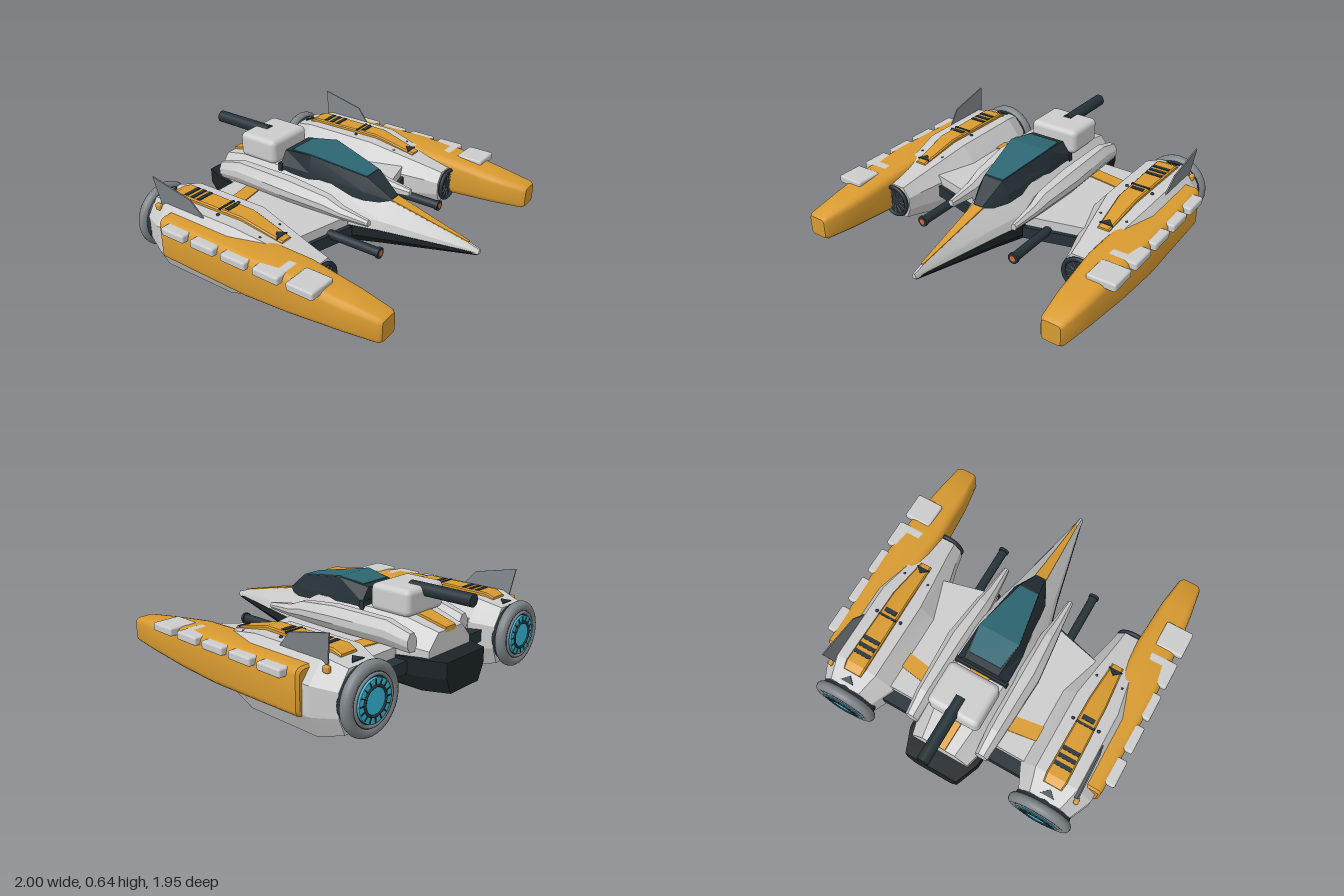
import * as THREE from 'three';
import { toCreasedNormals } from 'three/addons/utils/BufferGeometryUtils.js';
import { RoundedBoxGeometry } from 'three/addons/geometries/RoundedBoxGeometry.js';

const mat = (color, flatShading = false) => new THREE.MeshStandardMaterial({ color, flatShading });
const GREY = mat(0xcccccc), DARK = mat(0x263238), BELLY = mat(0x1c2327), ORANGE = mat(0xd89a30),
  GLASS = mat(0x2d6672), CYAN = mat(0x35bcd8), STEEL = mat(0x7d8488), RED = mat(0xd86a3a);

function add(parent, name, geo, material, x = 0, y = 0, z = 0) {
  const m = new THREE.Mesh(geo, material);
  m.name = name;
  m.position.set(x, y, z);
  parent.add(m);
  return m;
}

// Skin of closed cross-sections, back to front; each is { z, pts } counter-clockwise seen from +z
function loft(sections, crease = 0.25) {
  const pos = [], n = sections[0].pts.length;
  const put = (s, j) => pos.push(s.pts[j % n][0], s.pts[j % n][1], s.z);
  for (let i = 0; i + 1 < sections.length; i++) {
    const a = sections[i], b = sections[i + 1];
    for (let j = 0; j < n; j++) {
      put(a, j); put(a, j + 1); put(b, j + 1);
      put(a, j); put(b, j + 1); put(b, j);
    }
  }
  const back = sections[0], front = sections[sections.length - 1];
  for (let j = 1; j < n - 1; j++) {
    put(back, 0); put(back, j + 1); put(back, j);
    put(front, 0); put(front, j); put(front, j + 1);
  }
  const g = new THREE.BufferGeometry();
  g.setAttribute('position', new THREE.Float32BufferAttribute(pos, 3));
  return toCreasedNormals(g, crease);
}

// Symmetric section from its right half, listed bottom to top
const sym = (z, half) => ({ z, pts: [...half, ...half.map(([x, y]) => [-x, y]).reverse()] });

// Rounded rectangle section
function roundRect(z, x0, x1, y0, y1, r) {
  const pts = [];
  [[x1 - r, y0 + r, -90], [x1 - r, y1 - r, 0], [x0 + r, y1 - r, 90], [x0 + r, y0 + r, 180]].forEach(([cx, cy, a]) => {
    for (let k = 0; k <= 3; k++) {
      const t = (a + k * 30) * Math.PI / 180;
      pts.push([cx + r * Math.cos(t), cy + r * Math.sin(t)]);
    }
  });
  return { z, pts };
}

// Cylinder along z, r0 at the back and r1 at the front
const tubeZ = (r0, r1, len, seg = 32) => new THREE.CylinderGeometry(r1, r0, len, seg).rotateX(Math.PI / 2);
const box = (w, h, d) => new THREE.BoxGeometry(w, h, d);

// Flat outline in x/z given thickness downwards from y = 0
function plate(points, thickness) {
  const s = new THREE.Shape(points.map(([x, z]) => new THREE.Vector2(x, z)));
  return new THREE.ExtrudeGeometry(s, { depth: thickness, bevelEnabled: false }).rotateX(Math.PI / 2);
}

function buildFuselage(root) {
  const g = new THREE.Group();
  g.name = 'fuselage';
  root.add(g);

  // Grey upper hull: z, chine width, chine y, shoulder width, shoulder y, top width, top y
  const hull = [
    [-0.84, 0.19, 0.27, 0.19, 0.33, 0.11, 0.42],
    [-0.6, 0.25, 0.26, 0.25, 0.35, 0.14, 0.48],
    [-0.3, 0.27, 0.26, 0.265, 0.35, 0.16, 0.48],
    [0, 0.24, 0.26, 0.225, 0.34, 0.15, 0.47],
    [0.38, 0.14, 0.26, 0.125, 0.315, 0.04, 0.425],
    [0.9, 0.025, 0.25, 0.022, 0.27, 0.008, 0.3],
    [0.97, 0.014, 0.25, 0.014, 0.26, 0.006, 0.28]];
  add(g, 'upperHull', loft(hull.map(([z, a, b, c, d, e, f]) => sym(z, [[a, b], [c, d], [e, f]]))), GREY);

  // Dark belly: z, bottom width, bottom y, top width, top y
  const belly = [
    [-0.95, 0.13, 0.1, 0.175, 0.29], [-0.8, 0.19, 0.095, 0.235, 0.29], [-0.3, 0.195, 0.095, 0.275, 0.262],
    [0, 0.17, 0.1, 0.245, 0.262], [0.38, 0.09, 0.15, 0.142, 0.262], [0.96, 0.008, 0.24, 0.014, 0.256]];
  add(g, 'belly', loft(belly.map(([z, a, b, c, d]) => sym(z, [[a, b], [c, (b + d) / 2], [c, d]]))), BELLY);

  // Orange stripes on the nose and spine
  const stripe = (rows) => loft(rows.map(([z, w, y]) => sym(z, [[w, y - 0.03], [w, y]])));
  add(g, 'noseStripe', stripe([[0.36, 0.04, 0.437], [0.9, 0.008, 0.307]]), ORANGE);
  add(g, 'spineStripe', stripe([[-0.84, 0.045, 0.435], [-0.6, 0.06, 0.495], [-0.3, 0.065, 0.495]]), ORANGE);

  // Canopy: z, sill width, sill y, shoulder width, shoulder y, top width, top y
  const canopy = [
    [-0.335, 0.17, 0.44, 0.17, 0.5, 0.115, 0.58], [-0.12, 0.165, 0.44, 0.16, 0.5, 0.135, 0.608],
    [0.25, 0.115, 0.41, 0.105, 0.46, 0.065, 0.54], [0.4, 0.04, 0.4, 0.037, 0.42, 0.032, 0.43]];
  add(g, 'canopyFrame', loft(canopy.map(([z, a, b, c, d, e, f]) => sym(z, [[a, b], [c, d], [e, f]]))), DARK);
  add(g, 'canopyGlass', stripe([[-0.29, 0.105, 0.591], [-0.12, 0.133, 0.613], [0.24, 0.063, 0.547]]), GLASS);
  add(g, 'canopyRearRim', box(0.35, 0.06, 0.03), DARK, 0, 0.48, -0.335);

  // Turret with a gun that faces backwards
  add(g, 'turret', new RoundedBoxGeometry(0.335, 0.16, 0.28, 4, 0.035), GREY, 0, 0.55, -0.53);
  add(g, 'turretBarrel', tubeZ(0.038, 0.038, 0.42), DARK, 0, 0.606, -0.77);

  return g;
}

function buildNacelle(side) {
  const g = new THREE.Group();
  g.name = 'nacelle';
  g.position.set(0.685, 0.22, 0);
  side.add(g);

  // Eight-sided body: z, half width, half height
  const body = [[-0.8, 0.17, 0.175], [-0.66, 0.235, 0.212], [-0.15, 0.235, 0.212], [0.27, 0.125, 0.125], [0.37, 0.105, 0.105]];
  add(g, 'nacelleBody', loft(body.map(([z, w, h]) =>
    sym(z, [[w * 0.74, -h], [w, -h * 0.4], [w, h * 0.4], [w * 0.58, h]]))), GREY);

  // Front intake with radial blades
  add(g, 'intakeRim', new THREE.TorusGeometry(0.096, 0.013, 10, 32), DARK, 0, 0, 0.39);
  add(g, 'intakeDisc', tubeZ(0.096, 0.096, 0.03), DARK, 0, 0, 0.37);
  for (let i = 0; i < 12; i++) {
    const a = i * Math.PI / 6;
    add(g, 'intakeBlade', box(0.05, 0.006, 0.008), STEEL, 0.058 * Math.cos(a), 0.058 * Math.sin(a), 0.387).rotation.z = a;
  }

  // Rear engine with glowing rings
  add(g, 'engineNeck', tubeZ(0.185, 0.175, 0.06), DARK, 0, 0, -0.81);
  add(g, 'engineRing', new THREE.TorusGeometry(0.173, 0.034, 14, 40), STEEL, 0, 0, -0.85);
  add(g, 'engineBack', tubeZ(0.16, 0.16, 0.04), DARK, 0, 0, -0.855);
  add(g, 'engineInnerRing', new THREE.TorusGeometry(0.138, 0.01, 8, 40), STEEL, 0, 0, -0.877);
  add(g, 'engineGlow', tubeZ(0.122, 0.122, 0.03), CYAN, 0, 0, -0.875);
  add(g, 'engineDarkRing', new THREE.TorusGeometry(0.08, 0.008, 8, 32), DARK, 0, 0, -0.89);
  for (let i = 0; i < 16; i++) {
    const a = i * Math.PI / 8;
    add(g, 'engineVane', box(0.028, 0.006, 0.008), DARK, 0.102 * Math.cos(a), 0.102 * Math.sin(a), -0.89).rotation.z = a;
  }

  // Orange top panel with dark bars
  const panel = [[-0.71, 0.06, 0.213], [-0.66, 0.067, 0.235], [-0.15, 0.058, 0.235], [0.13, 0.038, 0.166]];
  add(g, 'topPanel', loft(panel.map(([z, w, y]) => sym(z, [[w, y - 0.05], [w, y - 0.008], [w - 0.008, y]]))), ORANGE);
  [-0.585, -0.535, -0.485].forEach((z) => add(g, 'panelBar', box(0.11, 0.008, 0.026), DARK, 0, 0.235, z));
  add(g, 'panelLatch', box(0.12, 0.01, 0.014), DARK, 0, 0.234, -0.31);
  add(g, 'panelLatch', box(0.08, 0.01, 0.03), DARK, 0, 0.234, -0.27);

  // Dark arrow marks above and below
  const arrow = () => plate([[-0.045, 0.02], [0, -0.025], [0.045, 0.02]], 0.012);
  add(g, 'frontArrow', arrow(), DARK, 0, 0.183, 0.08).rotation.x = 0.24;
  const rear = add(g, 'rearArrow', arrow(), DARK, 0, 0.194, -0.755);
  rear.rotation.set(-0.26, Math.PI, 0);
  [-0.55, -0.2].forEach((z) => add(g, 'bottomArrow', arrow(), DARK, 0, -0.206, z));

  // Bolts beside the panel and a rear marker lamp
  for (const x of [-0.085, 0.085]) {
    add(g, 'bolt', new THREE.SphereGeometry(0.011, 8, 6), DARK, x, 0.213, -0.3);
    add(g, 'bolt', new THREE.SphereGeometry(0.011, 8, 6), DARK, x, 0.172, 0.01);
  }
  add(g, 'markerLamp', new RoundedBoxGeometry(0.03, 0.04, 0.04, 2, 0.01), ORANGE, 0.16, 0.165, -0.71);

  // Thin fin leaning outwards
  const s = new THREE.Shape([[0.33, -0.04], [0.44, 0.085], [0.73, 0.15], [0.7, -0.04]].map(([z, y]) => new THREE.Vector2(z, y)));
  const fin = add(g, 'fin', new THREE.ExtrudeGeometry(s, { depth: 0.008, bevelEnabled: false })
    .rotateY(Math.PI / 2), STEEL, 0.14, 0.21, 0);
  fin.rotation.z = -0.11;
}

function buildSide() {
  const side = new THREE.Group();
  side.name = 'leftSide';
  buildNacelle(side);

  // Orange outer pontoon: z, inner x, outer x, bottom y, top y, corner radius
  const pontoon = [
    [-0.61, 0.74, 0.935, 0.13, 0.375, 0.035], [-0.595, 0.73, 0.95, 0.115, 0.388, 0.04], [0.05, 0.72, 0.97, 0.118, 0.386, 0.045],
    [0.35, 0.715, 0.96, 0.128, 0.375, 0.045], [0.68, 0.735, 0.935, 0.145, 0.335, 0.04], [0.88, 0.765, 0.91, 0.157, 0.31, 0.03],
    [0.9, 0.78, 0.895, 0.172, 0.295, 0.02]];
  add(side, 'pontoon', loft(pontoon.map((p) => roundRect(...p)), 0.7), ORANGE);
  for (let i = 0; i < 5; i++)
    add(side, 'pontoonPlate', new RoundedBoxGeometry(0.18, 0.05, 0.175, 2, 0.012), GREY, 0.91, 0.353, -0.447 + i * 0.2275);

  // Wing with dark carrier below, orange band and two rods
  add(side, 'wing', plate([[0.2, -0.65], [0.6, -0.65], [0.6, 0.1], [0.2, 0.2]], 0.06), GREY, 0, 0.325, 0);
  add(side, 'wingCarrier', plate([[0.2, -0.73], [0.6, -0.73], [0.6, 0.12], [0.2, 0.23]], 0.075), DARK, 0, 0.265, 0);
  add(side, 'wingBand', plate([[0.2, -0.55], [0.6, -0.49], [0.6, -0.39], [0.2, -0.45]], 0.02), ORANGE, 0, 0.332, 0);
  [-0.45, -0.35].forEach((z) =>
    add(side, 'wingRod', new THREE.CylinderGeometry(0.012, 0.012, 0.4, 12).rotateZ(Math.PI / 2), ORANGE, 0.38, 0.165, z));

  // Forward gun
  add(side, 'gunBarrel', tubeZ(0.028, 0.028, 0.4, 20), DARK, 0.335, 0.258, 0.31);
  add(side, 'gunCollar', tubeZ(0.034, 0.034, 0.018, 20), DARK, 0.335, 0.258, 0.512);
  add(side, 'gunMuzzle', tubeZ(0.018, 0.018, 0.01, 16), RED, 0.335, 0.258, 0.519);

  // Raised rail along the hull: z, inner x, outer x, bottom y, top y
  const rail = [
    [-0.76, 0.2, 0.28, 0.32, 0.43], [-0.6, 0.19, 0.295, 0.33, 0.475], [-0.2, 0.175, 0.315, 0.33, 0.475],
    [0.08, 0.18, 0.285, 0.32, 0.44], [0.18, 0.195, 0.27, 0.32, 0.4], [0.37, 0.215, 0.25, 0.33, 0.37]];
  add(side, 'hullRail', loft(rail.map(([z, a, b, y0, y1]) => {
    const w = (b - a) * 0.28, h = (y1 - y0) * 0.35;
    return { z, pts: [[a, y0], [b - w, y0], [b, y0 + h], [b, y1 - h], [b - w, y1], [a + w, y1], [a, y1 - h]] };
  })), GREY);
  return side;
}

export function createModel() {
  const root = new THREE.Group();
  root.name = 'spacecraft';
  buildFuselage(root);
  const left = buildSide();
  const right = left.clone();
  right.name = 'rightSide';
  right.scale.x = -1;
  root.add(left, right);
  return root;
}
